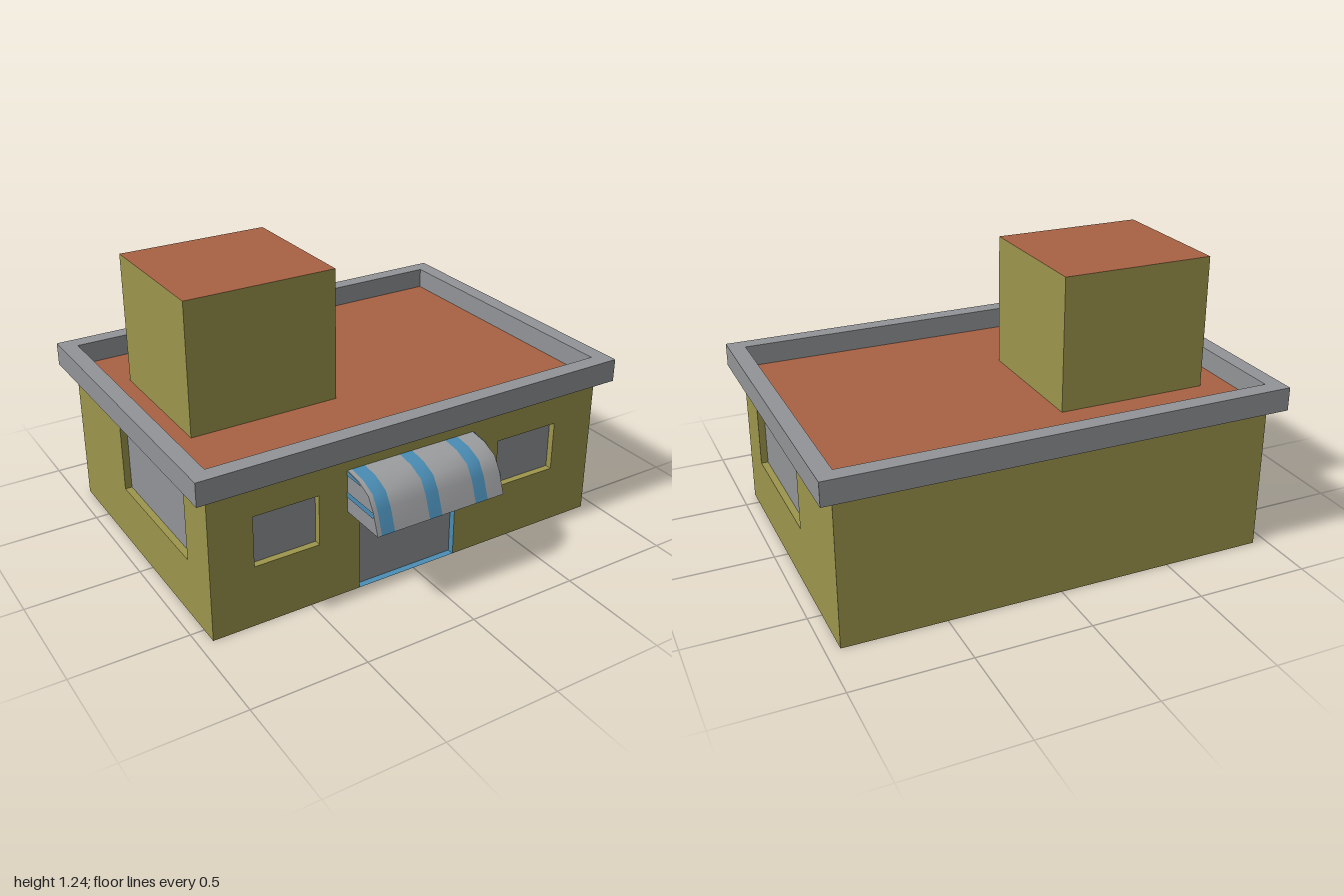
import * as THREE from 'three';

const mat = (name, color) => {
  const m = new THREE.MeshStandardMaterial({ color, side: THREE.DoubleSide });
  m.name = name;
  return m;
};

export function createModel() {
  const olive = mat('olive wall', 0x9c964d);
  const grey = mat('grey trim', 0x929497);
  const clay = mat('clay roof', 0xa86244);
  const blue = mat('blue stripe', 0x4a8db5);
  const cloth = mat('pale awning cloth', 0x9d9ea0);

  const model = new THREE.Group();
  model.name = 'shopBuilding';
  const add = (parent, name, geo, material, x = 0, y = 0, z = 0) => {
    const m = new THREE.Mesh(geo, material);
    m.name = name;
    m.position.set(x, y, z);
    parent.add(m);
    return m;
  };
  const shapeOf = pts => new THREE.Shape(pts.map(p => new THREE.Vector2(...p)));
  const rect = (x0, x1, y0, y1) => [[x0, y0], [x1, y0], [x1, y1], [x0, y1]];

  // Main dimensions
  const X = 0.94, BACK = -0.74, FRONT = 0.58, H = 0.65, DEPTH = 0.03;

  // Sunken opening: four side faces of a box with a panel at the back
  function opening(parent, name, [x0, x1, y0, y1], sideMat) {
    const w = x1 - x0, h = y1 - y0, cx = (x0 + x1) / 2, cy = (y0 + y1) / 2;
    const sides = new THREE.BoxGeometry(w, h, DEPTH);
    sides.setIndex(Array.from(sides.index.array).slice(0, 24));
    sides.clearGroups();
    add(parent, name + 'Reveal', sides, sideMat, cx, cy, -DEPTH / 2);
    add(parent, name + 'Panel', new THREE.PlaneGeometry(w, h), grey, cx, cy, -DEPTH);
  }

  // Thin wall facing local +z, with window holes and an optional door notch
  function wall(name, x0, x1, windows = [], door = null) {
    const g = new THREE.Group();
    g.name = name;
    const outline = rect(x0, x1, 0, H);
    if (door) {
      const [a, b, , top] = door;
      outline.splice(1, 0, [a, 0], [a, top], [b, top], [b, 0]);
      opening(g, 'door', door, blue);
    }
    const shape = shapeOf(outline);
    for (const w of windows) {
      shape.holes.push(shapeOf(rect(...w)));
      opening(g, 'window', w, olive);
    }
    add(g, name + 'Surface', new THREE.ShapeGeometry(shape), olive);
    model.add(g);
    return g;
  }

  wall('frontWall', -X, X,
    [[-0.75, -0.46, 0.275, 0.5], [0.42, 0.73, 0.265, 0.49]],
    [-0.27, 0.205, 0, 0.47]).position.z = FRONT;
  const back = wall('backWall', -X, X);
  back.position.z = BACK;
  back.rotation.y = Math.PI;
  const right = wall('sideWallPlusX', -FRONT, -BACK, [[-0.38, 0.25, 0.26, 0.575]]);
  right.position.x = X;
  right.rotation.y = Math.PI / 2;
  const left = wall('sideWallMinusX', BACK, FRONT, [[-0.25, 0.38, 0.26, 0.575]]);
  left.position.x = -X;
  left.rotation.y = -Math.PI / 2;

  // Parapet ring around the flat roof
  const ring = shapeOf(rect(-1, 1, -0.635, 0.8));
  ring.holes.push(shapeOf(rect(-0.928, 0.928, -0.563, 0.728)));
  const ringGeo = new THREE.ExtrudeGeometry(ring, { depth: 0.102, bevelEnabled: false });
  ringGeo.rotateX(-Math.PI / 2);
  add(model, 'parapet', ringGeo, grey, 0, H, 0);

  // Flat roof
  const roofGeo = new THREE.PlaneGeometry(1.856, 1.291).rotateX(-Math.PI / 2);
  add(model, 'roof', roofGeo, clay, 0, 0.658, -0.0825);

  // Rooftop block with a clay top
  const block = new THREE.BoxGeometry(0.67, 0.58, 0.62);
  add(model, 'roofBlock', block, [olive, olive, clay, olive, olive, olive], -0.465, 0.95, -0.145);

  // Curved awning: strips swept along a (z, y) profile
  const profile = [[FRONT, 0.575], [0.66, 0.565], [0.73, 0.535], [0.765, 0.48], [0.8, 0.387]];
  const awning = new THREE.Group();
  awning.name = 'awning';
  model.add(awning);
  const edges = [-0.33, -0.31, -0.25, -0.085, -0.025, 0.14, 0.2, 0.28];
  for (let i = 0; i < edges.length - 1; i++) {
    const geo = new THREE.PlaneGeometry(1, 1, 1, profile.length - 1);
    const p = geo.attributes.position;
    for (let v = 0; v < p.count; v++) {
      const [z, y] = profile[v >> 1];
      p.setXYZ(v, edges[i + v % 2], y, z);
    }
    geo.computeVertexNormals();
    add(awning, i % 2 ? 'awningStripe' : 'awningCloth', geo, i % 2 ? blue : cloth);
  }

  // Awning ends with two blue bands each
  const endPiece = (name, pts, material, x) =>
    add(awning, name, new THREE.ShapeGeometry(shapeOf(pts)).rotateY(-Math.PI / 2), material, x);
  for (const [x, out] of [[-0.33, -0.003], [0.28, 0.003]]) {
    endPiece('awningEnd', [[FRONT, 0.387], ...profile], grey, x);
    endPiece('awningEndBand', [[FRONT, 0.455], [0.774, 0.455], [0.765, 0.48], [FRONT, 0.48]], blue, x + out);
    endPiece('awningEndBand', [[FRONT, 0.553], [0.685, 0.553], [0.66, 0.565], [FRONT, 0.575]], blue, x + out);
  }
  return model;
}
